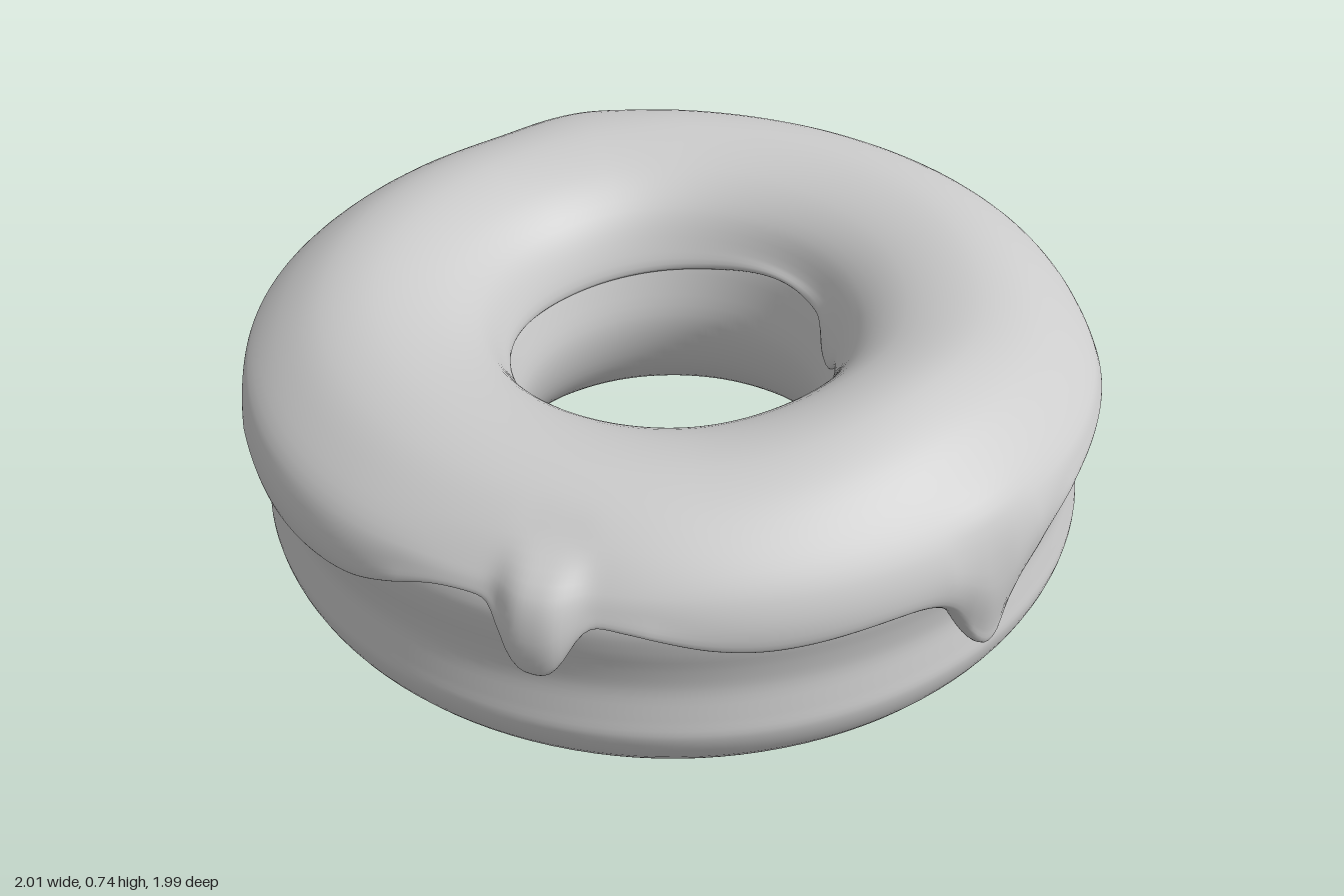
import * as THREE from 'three';

const material = new THREE.MeshStandardMaterial({ color: 0xcccccc });
const Z_SHIFT = -0.012;

// Smooth spline through [radius, height] pairs
const spline = (pts, closed = false) =>
  new THREE.CatmullRomCurve3(pts.map(([r, y]) => new THREE.Vector3(r, y, 0)), closed, 'centripetal');

// Smooth periodic interpolation of a [degrees, value] table, sorted from -180 to 180
function around(table) {
  const slope = (i) => {
    const n = table.length - 1;
    const [a0, v0] = i > 0 ? table[i - 1] : [table[n - 1][0] - 360, table[n - 1][1]];
    const [a1, v1] = i < n ? table[i + 1] : [table[1][0] + 360, table[1][1]];
    return (v1 - v0) / (a1 - a0);
  };
  return (deg) => {
    let i = 0;
    while (i < table.length - 2 && deg > table[i + 1][0]) i++;
    const [a, va] = table[i], [b, vb] = table[i + 1];
    const d = b - a, t = (deg - a) / d, u = 1 - t;
    return va * (1 + 2 * t) * u * u + slope(i) * d * t * u * u
      + vb * t * t * (3 - 2 * t) - slope(i + 1) * d * t * t * u;
  };
}

// Height of the icing's outer edge, before drips
const edgeHeight = around([
  [-180, 0.52], [-145, 0.54], [-125, 0.53], [-102, 0.43], [-86, 0.44], [-72, 0.52], [-59, 0.515],
  [-48, 0.495], [-38, 0.45], [-30, 0.435], [-15, 0.445], [0, 0.44], [10, 0.455], [18, 0.495],
  [32, 0.51], [50, 0.5], [63, 0.46], [72, 0.468], [84, 0.51], [96, 0.475], [105, 0.45],
  [114, 0.46], [123, 0.488], [134, 0.475], [145, 0.468], [168, 0.49], [180, 0.52],
]);
// Height of the crest of the icing
const crestHeight = around([
  [-180, 0.705], [-90, 0.705], [-40, 0.703], [0, 0.74], [35, 0.705], [65, 0.705],
  [95, 0.71], [135, 0.725], [155, 0.72], [180, 0.705],
]);
// Radial swelling of the outer icing
const swell = around([
  [-180, 0.0], [-140, 0.008], [-90, 0.008], [-65, -0.025], [-45, -0.018], [-20, -0.012], [0, 0.0],
  [35, 0.004], [55, -0.008], [90, 0.004], [125, -0.012], [142, 0.01], [154, 0.045], [168, 0.0], [180, 0.0],
]);
// Height of the icing's edge inside the hole
const innerHeight = around([
  [-180, 0.45], [-120, 0.47], [-60, 0.46], [0, 0.44], [45, 0.45], [90, 0.5], [130, 0.47], [180, 0.45],
]);

// Drips: angle, depth, half width in degrees, squareness, extra thickness
const drips = [
  [0, 0.2, 6, 2, 0.006],
  [-59, 0.135, 4.5, 3, 0.045],
  [155, 0.135, 7, 4, 0.0],
];
const bell = (deg, centre, width, power) => Math.exp(-Math.pow(Math.abs(deg - centre) / width, power));

// Outer dough wall, shared by the lathe and the icing
const wall = [[0.972, 0.2], [0.964, 0.25], [0.951, 0.32], [0.955, 0.38], [0.965, 0.44], [0.965, 0.5]];
function wallRadius(y) {
  if (y >= 0.5) return 0.965 - (y - 0.5) * 0.35;
  let i = 0;
  while (i < wall.length - 2 && y > wall[i + 1][1]) i++;
  const [r0, y0] = wall[i], [r1, y1] = wall[i + 1];
  return THREE.MathUtils.lerp(r0, r1, (y - y0) / (y1 - y0));
}

function makeDough() {
  const section = spline([
    [0.68, 0], [0.76, 0.008], [0.87, 0.05], [0.945, 0.125], ...wall,
    [0.93, 0.57], [0.84, 0.63], [0.68, 0.66], [0.52, 0.61], [0.425, 0.53],
    [0.385, 0.43], [0.364, 0.32], [0.395, 0.19], [0.465, 0.09], [0.57, 0.02],
  ], true);
  const profile = section.getPoints(80).map((p) => new THREE.Vector2(p.x, Math.max(0, p.y)));
  const dough = new THREE.Mesh(new THREE.LatheGeometry(profile, 128), material);
  dough.name = 'dough';
  dough.position.z = Z_SHIFT;
  return dough;
}

// One radial slice of icing: from the hole, over the crest, to the outer lip
function icingSection(deg) {
  let edge = edgeHeight(deg), extra = 0;
  for (const [centre, depth, width, power, thick] of drips) {
    const b = bell(deg, centre, width, power);
    edge -= depth * b;
    extra += thick * b;
  }
  const innerDrip = bell(deg, 58, 9, 3);
  const inner = innerHeight(deg) - 0.06 * innerDrip;
  const top = crestHeight(deg), lift = top - 0.705, push = swell(deg);
  const shoulder = 0.575;
  const down = (f, gap) => {
    const y = THREE.MathUtils.lerp(shoulder, edge, f);
    return [wallRadius(y) + gap + extra + push * (1 - 0.3 * f), y];
  };
  return spline([
    [0.43, inner + 0.012], [0.398, inner], [0.383 - 0.012 * innerDrip, inner + 0.015],
    [0.402, 0.535], [0.45, 0.61 + lift * 0.3], [0.54, 0.672 + lift * 0.7], [0.68, top],
    [0.8 + push * 0.4, 0.688 + lift * 0.7], [0.9 + push * 0.7, 0.635 + lift * 0.3],
    down(0, 0.03), down(0.45, 0.036), down(0.85, 0.034), down(0.97, 0.022),
    [wallRadius(edge) + 0.003, edge], [wallRadius(edge) - 0.03, edge + 0.012],
  ]);
}

function makeIcing() {
  const slices = 480, steps = 56, row = steps + 1;
  const positions = [], index = [];
  for (let i = 0; i < slices; i++) {
    const deg = -180 + (360 * i) / slices, a = THREE.MathUtils.degToRad(deg);
    for (const p of icingSection(deg).getPoints(steps)) {
      positions.push(p.x * Math.sin(a), p.y, p.x * Math.cos(a));
    }
    const here = i * row, next = ((i + 1) % slices) * row;
    for (let j = 0; j < steps; j++) {
      index.push(here + j, here + j + 1, next + j, here + j + 1, next + j + 1, next + j);
    }
  }
  const geometry = new THREE.BufferGeometry();
  geometry.setAttribute('position', new THREE.Float32BufferAttribute(positions, 3));
  geometry.setIndex(index);
  geometry.computeVertexNormals();
  const icing = new THREE.Mesh(geometry, material);
  icing.name = 'icing';
  icing.position.z = Z_SHIFT;
  return icing;
}

export function createModel() {
  const model = new THREE.Group();
  model.name = 'icedDoughnut';
  model.add(makeDough(), makeIcing());
  return model;
}
